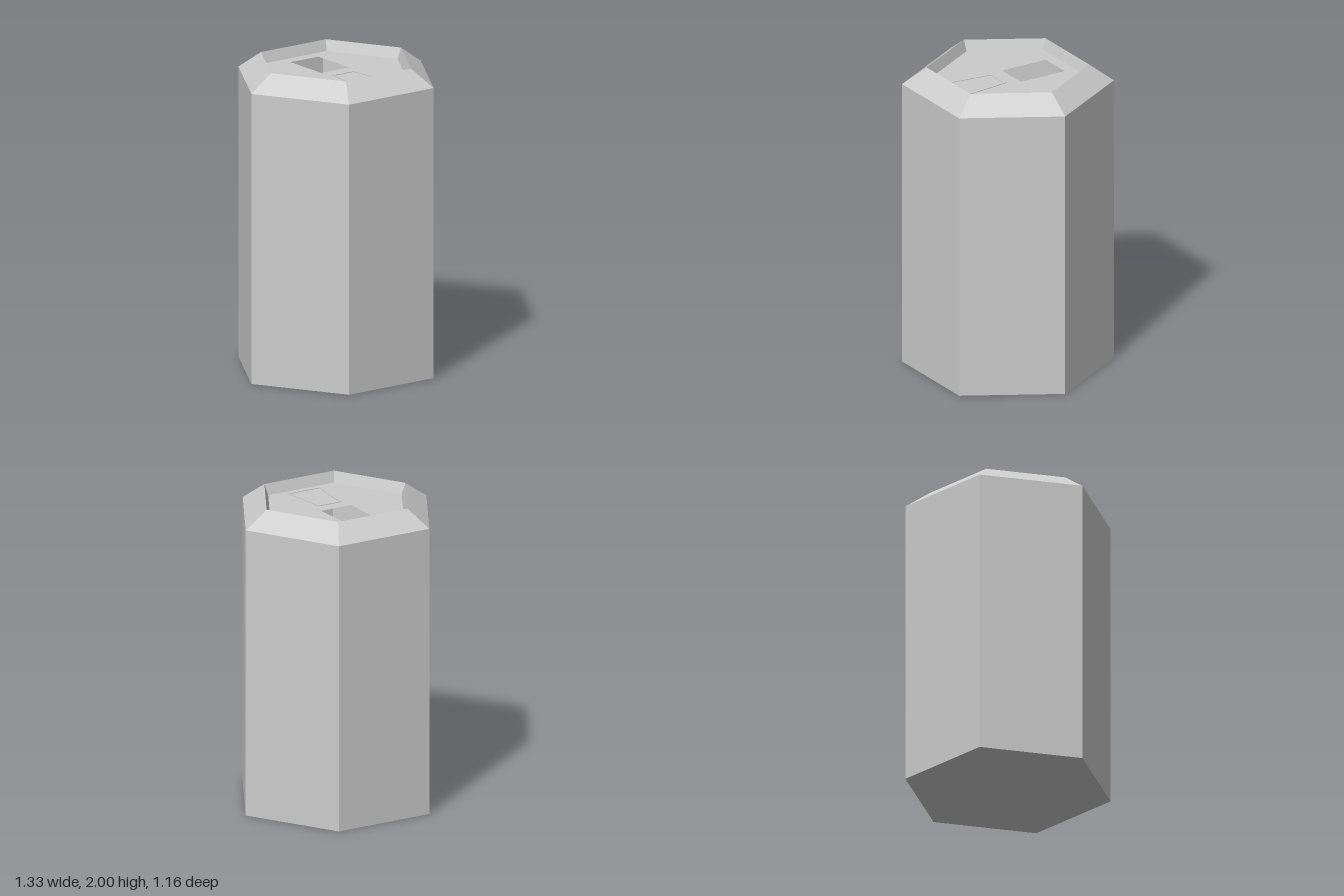
import * as THREE from 'three';

const LID_Y = 1.93;
const LID_RADIUS = 0.485;

// Closed outline from [x, z] pairs, drawn so that it lies flat once laid down
const outline = (pairs, Type = THREE.Shape) =>
  new Type(pairs.map(([x, z]) => new THREE.Vector2(x, -z)));

export function createModel() {
  const group = new THREE.Group();
  const material = new THREE.MeshStandardMaterial({
    color: 0xcccccc, flatShading: true, side: THREE.DoubleSide,
  });

  const add = (name, geometry, y = 0) => {
    const mesh = new THREE.Mesh(geometry, material);
    mesh.name = name;
    mesh.position.y = y;
    group.add(mesh);
  };

  // Hollow six-sided shell: base, wall, sloped shoulder and inner lip
  const profile = [[0, 0], [0.667, 0], [0.667, 1.89], [0.512, 2], [LID_RADIUS, LID_Y]]
    .map(([r, y]) => new THREE.Vector2(r, y));
  add('body', new THREE.LatheGeometry(profile, 6, Math.PI / 2));

  // Sunken lid with a rectangular opening into the hollow body
  const hexagon = Array.from({ length: 6 }, (_, i) => {
    const a = (i * Math.PI) / 3;
    return [LID_RADIUS * Math.cos(a), LID_RADIUS * Math.sin(a)];
  });
  const lid = outline(hexagon);
  lid.holes.push(outline([[-0.1, -0.345], [0.12, -0.345], [0.12, -0.02], [-0.1, -0.02]], THREE.Path));
  add('lid', new THREE.ShapeGeometry(lid).rotateX(-Math.PI / 2), LID_Y);

  // Thin tapered pull tab frame lying on the lid
  const tab = outline([[-0.08, 0.065], [0.087, 0.065], [0.125, 0.385], [-0.12, 0.385]]);
  tab.holes.push(outline([[-0.07, 0.083], [0.077, 0.083], [0.11, 0.37], [-0.104, 0.37]], THREE.Path));
  const tabGeometry = new THREE.ExtrudeGeometry(tab, { depth: 0.004, bevelEnabled: false });
  add('pullTab', tabGeometry.rotateX(-Math.PI / 2), LID_Y);

  return group;
}
